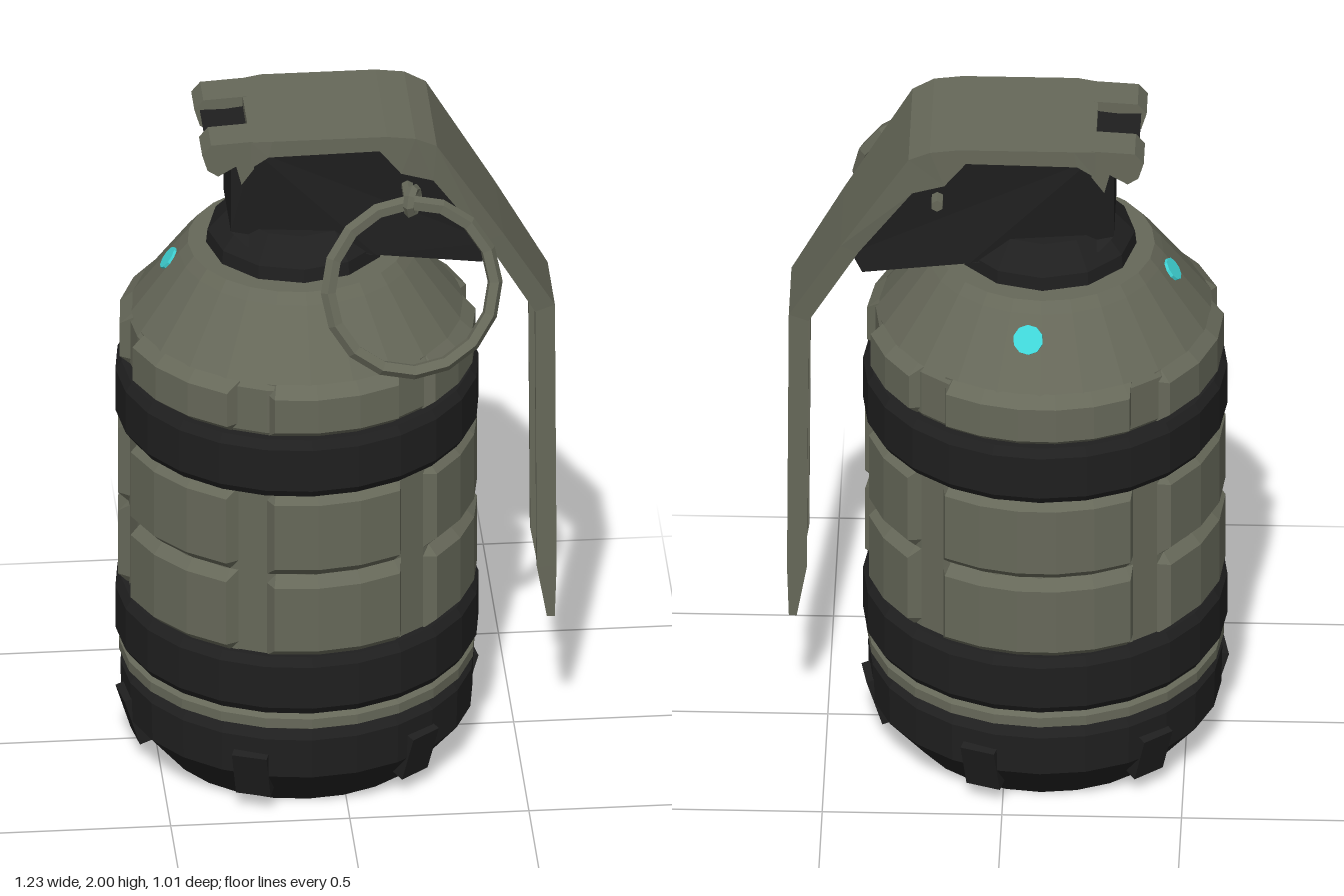
import * as THREE from 'three';

const AXIS = -0.105; // x of the canister axis
const RAD = Math.PI / 180;

export function createModel() {
  const model = new THREE.Group();
  const olive = new THREE.MeshStandardMaterial({ color: 0x666859, side: THREE.DoubleSide });
  olive.name = 'olive grey metal';
  const black = new THREE.MeshStandardMaterial({ color: 0x1f1f1f });
  black.name = 'black rubber';
  const cyan = new THREE.MeshStandardMaterial({ color: 0x40d6d8 });
  cyan.name = 'cyan light';

  // faceted mesh
  function add(name, geo, mat, parent = model) {
    const g = geo.index ? geo.toNonIndexed() : geo;
    g.computeVertexNormals();
    const m = new THREE.Mesh(g, mat);
    m.name = name;
    parent.add(m);
    return m;
  }
  const canister = new THREE.Group();
  canister.name = 'canister';
  canister.position.x = AXIS;
  model.add(canister);

  const turned = (name, pts, mat, sides = 24) =>
    add(name, new THREE.LatheGeometry(pts.map(p => new THREE.Vector2(p[0], p[1])), sides), mat, canister);

  // surface from rows of points, quads between neighbours
  function gridGeometry(rows, closed, extraQuads = []) {
    const pos = rows.flat(2), n = rows[0].length, idx = [];
    const quad = (a, b, c, d) => idx.push(a, b, c, a, c, d);
    for (let i = 0; i < rows.length - 1; i++)
      for (let j = 0; j < (closed ? n : n - 1); j++) {
        const k = (j + 1) % n;
        quad(i * n + j, i * n + k, (i + 1) * n + k, (i + 1) * n + j);
      }
    extraQuads.forEach(q => quad(...q));
    const g = new THREE.BufferGeometry();
    g.setAttribute('position', new THREE.Float32BufferAttribute(pos, 3));
    g.setIndex(idx);
    return g;
  }

  // bevelled curved panel between two angles
  function panel(name, from, to, y0, y1, inner, outer) {
    const bevel = 3, angles = [from, from + bevel];
    const steps = Math.max(2, Math.round((to - from) / 15));
    for (let i = 1; i <= steps; i++) angles.push(from + bevel + (to - from - 2 * bevel) * i / steps);
    angles.push(to);
    const rows = [y0, y0 + 0.03, y1 - 0.03, y1].map((y, r) => angles.map((a, i) => {
      const edge = r === 0 || r === 3 || i === 0 || i === angles.length - 1;
      const rad = edge ? inner : outer;
      return [rad * Math.sin(a * RAD), y, rad * Math.cos(a * RAD)];
    }));
    add(name, gridGeometry(rows, false), olive, canister);
  }

  // turned canister parts
  turned('base', [[0, 0], [0.38, 0], [0.49, 0.13], [0.493, 0.25], [0.475, 0.275], [0, 0.275]], black);
  turned('lowerBand', [[0.465, 0.27], [0.485, 0.285], [0.497, 0.29], [0.497, 0.32], [0.48, 0.33], [0.465, 0.34]], olive);
  turned('bodyCore', [[0.472, 0.5], [0.472, 1.05]], olive);
  for (const [name, y] of [['lowerRing', 0.335], ['upperRing', 1.03]])
    turned(name, [[0.46, y], [0.49, y], [0.507, y + 0.025], [0.507, y + 0.155], [0.49, y + 0.18], [0.46, y + 0.18]], black);
  turned('shoulder', [[0.46, 1.2], [0.472, 1.22], [0.472, 1.355], [0.33, 1.55], [0.305, 1.58], [0, 1.58]], olive);
  turned('collar', [[0.255, 1.57], [0.25, 1.62], [0.185, 1.69], [0, 1.69]], black, 12);

  // raised panels separated by vertical and horizontal grooves
  const grooves = [-80, -20, 38, 96, 140, 218, 280];
  for (let i = 0; i < grooves.length - 1; i++) {
    const a = grooves[i] + 5, b = grooves[i + 1] - 5;
    panel('lowerPanel', a, b, 0.51, 0.77, 0.472, 0.502);
    panel('upperPanel', a, b, 0.77, 1.035, 0.472, 0.502);
    panel('shoulderPanel', a, b, 1.205, 1.37, 0.462, 0.497);
  }

  // lugs on the bevelled foot
  for (let i = 0; i < 6; i++) {
    const pivot = new THREE.Group();
    pivot.name = 'footLug';
    pivot.rotation.y = (-20 + 60 * i) * RAD;
    canister.add(pivot);
    const lug = add('footLugBlock', new THREE.BoxGeometry(0.1, 0.15, 0.04), black, pivot);
    lug.position.set(0, 0.13, 0.468);
    lug.rotation.x = 0.3;
  }

  // indicator lights lying on the shoulder slope
  for (const [angle, r, size] of [[174.5, 0.372, 0.042], [265, 0.356, 0.034]]) {
    const n = new THREE.Vector3(0.81 * Math.sin(angle * RAD), 0.59, 0.81 * Math.cos(angle * RAD));
    const light = add('indicatorLight', new THREE.CylinderGeometry(size, size, 0.009, 10), cyan, canister);
    light.position.set(r * Math.sin(angle * RAD), 1.55 - (r - 0.33) * 1.373, r * Math.cos(angle * RAD))
      .addScaledVector(n, 0.002);
    light.quaternion.setFromUnitVectors(new THREE.Vector3(0, 1, 0), n.normalize());
  }

  // flat profile given thickness along z
  function slab(points, z0, z1) {
    const shape = new THREE.Shape(points.map(p => new THREE.Vector2(p[0], p[1])));
    return new THREE.ExtrudeGeometry(shape, { depth: z1 - z0, bevelEnabled: false }).translate(0, 0, z0);
  }

  // fuse head, narrowing under the lever
  const head = slab([[-0.24, 1.96], [-0.3, 1.9], [-0.3, 1.68], [-0.26, 1.65], [0.1, 1.61], [0.4, 1.56],
    [0.43, 1.62], [0.24, 1.93], [0.2, 1.96]], -0.165, 0.165);
  const hp = head.attributes.position;
  for (let i = 0; i < hp.count; i++) {
    const shrink = 1 - Math.max(0, hp.getX(i) - 0.2) * 0.7 - Math.max(0, -0.25 - hp.getX(i)) * 5;
    hp.setZ(i, hp.getZ(i) * shrink);
  }
  add('fuseHead', head, black);
  add('hingeBlock', slab([[-0.22, 1.97], [-0.3, 1.96], [-0.37, 1.96], [-0.36, 1.92], [-0.28, 1.9], [-0.22, 1.9]], -0.075, 0.075), black);

  // safety lever: channel section swept over the top and down the side
  // each station: outer x, y, flange tip x, y, half width
  const stations = [
    [-0.25, 1.995, -0.25, 1.91, 0.18], [-0.19, 2.0, -0.2, 1.95, 0.19], [0.13, 2.0, 0.11, 1.955, 0.19],
    [0.21, 1.99, 0.17, 1.88, 0.19], [0.27, 1.96, 0.26, 1.85, 0.183], [0.46, 1.65, 0.41, 1.63, 0.15],
    [0.605, 1.4, 0.55, 1.38, 0.12], [0.61, 0.56, 0.555, 0.56, 0.117], [0.605, 0.4, 0.583, 0.4, 0.115],
  ];
  const sections = stations.map(([ox, oy, tx, ty, w]) => {
    const ix = ox + (tx - ox) * 0.4, iy = oy + (ty - oy) * 0.4, v = w - 0.022;
    return [[ox, oy, -w], [ox, oy, w], [tx, ty, w], [tx, ty, v], [ix, iy, v], [ix, iy, -v], [tx, ty, -v], [tx, ty, -w]];
  });
  const cap = [[0, 1, 4, 5], [1, 2, 3, 4], [0, 5, 6, 7]];
  const last = (stations.length - 1) * 8;
  const caps = [...cap.map(q => [...q].reverse()), ...cap.map(q => q.map(i => i + last))];
  add('safetyLever', gridGeometry(sections, true, caps), olive);

  // forked hooks at the hinge end
  const hook = [[-0.24, 1.997], [-0.36, 1.99], [-0.385, 1.96], [-0.37, 1.91], [-0.34, 1.89], [-0.29, 1.92],
    [-0.275, 1.86], [-0.24, 1.91]];
  add('leftHook', slab(hook, 0.075, 0.18), olive);
  add('rightHook', slab(hook, -0.18, -0.075), olive);

  // pull ring and its pin
  const ring = add('pullRing', new THREE.TorusGeometry(0.238, 0.022, 5, 16), olive);
  ring.position.set(0.185, 1.61, 0.355);
  ring.rotation.set(-0.36, 0.15, 0);
  const pin = add('pin', new THREE.CylinderGeometry(0.018, 0.018, 0.46, 6), olive);
  pin.rotation.x = Math.PI / 2;
  pin.position.set(0.19, 1.82, 0.03);
  const eye = add('pinEye', new THREE.TorusGeometry(0.034, 0.016, 5, 8), olive);
  eye.rotation.y = Math.PI / 2 - 0.4;
  eye.position.set(0.195, 1.835, 0.265);

  return model;
}
